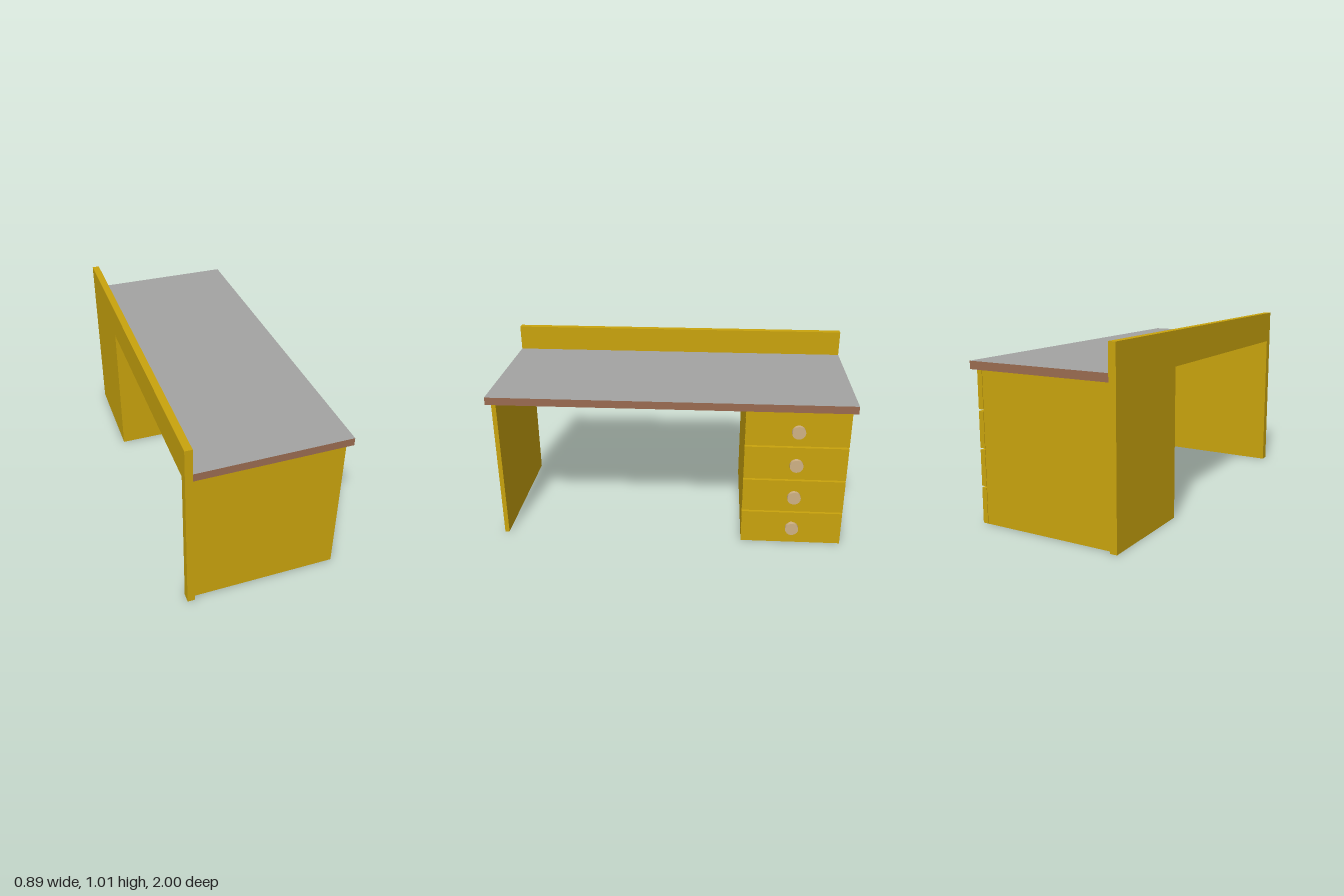
import * as THREE from 'three';

export function createModel() {
  const mat = (name, color) => {
    const m = new THREE.MeshStandardMaterial({ color });
    m.name = name;
    return m;
  };
  const wood = mat('ochre wood', 0xc9a30d);
  const edge = mat('brown edging', 0x9a6b50);
  const top = mat('grey worktop', 0xa3a3a2);
  const tan = mat('tan knob', 0xcfb184);

  const desk = new THREE.Group();
  desk.name = 'desk';

  // Box given by its minimum and maximum on each axis
  const box = (name, [x0, x1], [y0, y1], [z0, z1], material = wood) => {
    const mesh = new THREE.Mesh(new THREE.BoxGeometry(x1 - x0, y1 - y0, z1 - z0), material);
    mesh.position.set((x0 + x1) / 2, (y0 + y1) / 2, (z0 + z1) / 2);
    mesh.name = name;
    desk.add(mesh);
    return mesh;
  };

  const under = 0.822;
  const backX = [-0.445, -0.405];

  // Worktop: brown edges, grey surface, wooden underside
  box('worktop', [-0.405, 0.42], [under, 0.865], [-1, 1], [edge, edge, top, wood, edge, edge]);

  // Back: one long rail above, a wide panel behind the cabinet and a narrow post
  box('backRail', backX, [under, 1.01], [-1, 1]);
  box('cabinetBack', backX, [0, under], [-1, -0.41]);
  box('backPost', backX, [0, under], [0.95, 1]);

  // Side panel and cabinet body
  box('sidePanel', [-0.405, 0.393], [0, under], [0.95, 0.975]);
  box('cabinet', [-0.405, 0.362], [0, under], [-0.975, -0.41]);
  box('drawerCore', [0.362, 0.368], [0.003, under], [-0.972, -0.413]);

  // Drawer fronts with turned knobs
  const pitch = 0.2045, gap = 0.01;
  const profile = [[0, 0], [0.021, 0], [0.021, 0.03], [0.037, 0.03], [0.037, 0.05], [0, 0.05]];
  // Each straight run is its own lathe, which keeps the rims sharp
  const knobParts = profile.slice(1).map((p, i) =>
    new THREE.LatheGeometry([profile[i], p].map(([r, h]) => new THREE.Vector2(r, h)), 24));

  for (let i = 0; i < 4; i++) {
    const y0 = i * pitch;
    const y1 = i === 3 ? under : y0 + pitch - gap;
    box('drawerFront' + (i + 1), [0.366, 0.396], [y0, y1], [-0.975, -0.41]);

    const knob = new THREE.Group();
    knob.name = 'knob' + (i + 1);
    knobParts.forEach((g) => {
      const part = new THREE.Mesh(g, tan);
      part.name = 'knobPart';
      knob.add(part);
    });
    knob.rotation.z = -Math.PI / 2;
    knob.position.set(0.395, 0.114 + i * 0.2, -0.693);
    desk.add(knob);
  }
  return desk;
}
